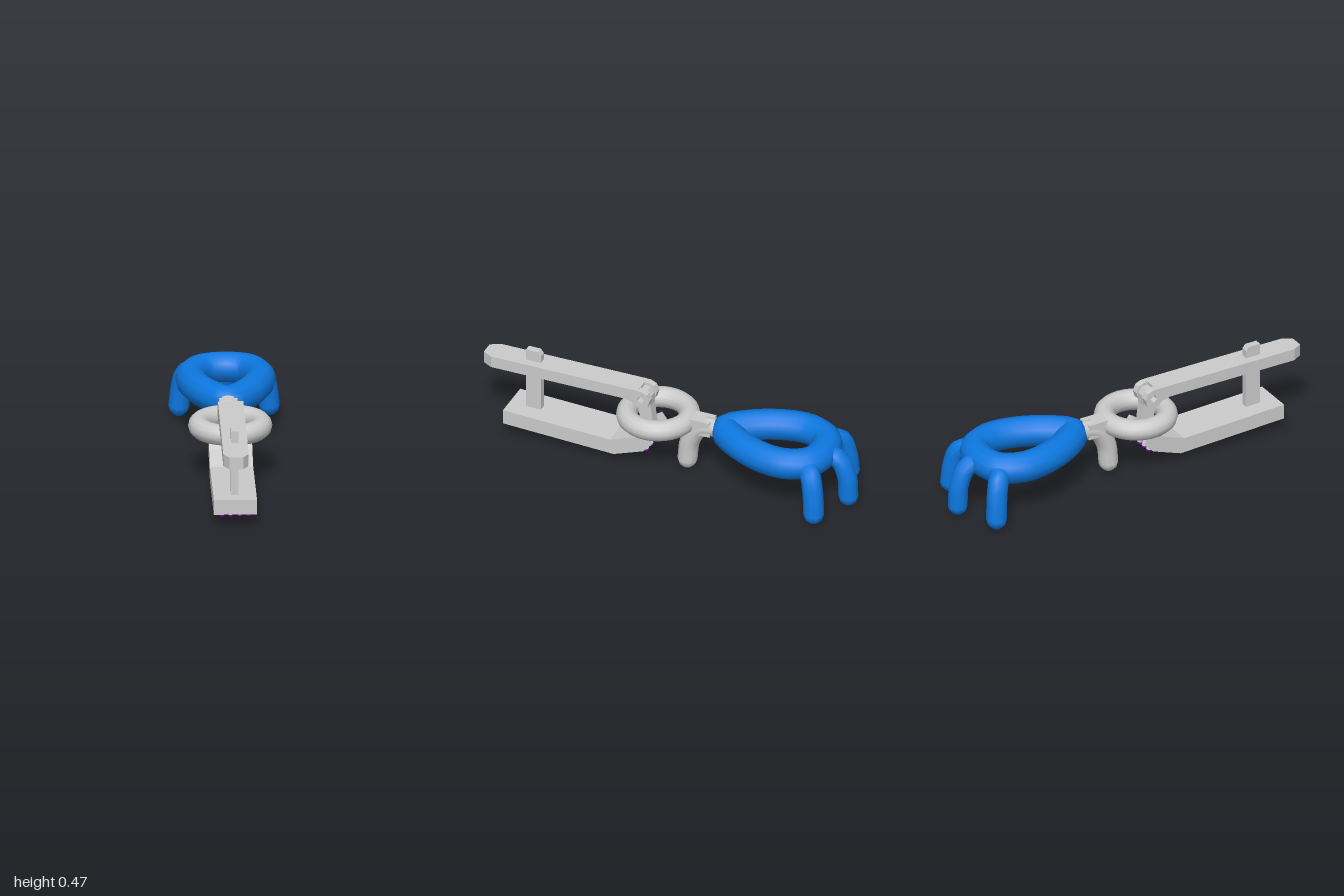
import * as THREE from 'three';

const grey = new THREE.MeshStandardMaterial({ color: 0xcccccc });
const blue = new THREE.MeshStandardMaterial({ color: 0x0d78e0 });
const purple = new THREE.MeshStandardMaterial({ color: 0x9a00d0 });
const V = (x, y, z) => new THREE.Vector3(x, y, z);

export function createModel() {
  const model = new THREE.Group();

  const add = (name, geometry, material, parent = model) => {
    const mesh = new THREE.Mesh(geometry, material);
    mesh.name = name;
    parent.add(mesh);
    return mesh;
  };

  const box = (name, w, h, d, x, y, z, material = grey, parent = model) => {
    const mesh = add(name, new THREE.BoxGeometry(w, h, d), material, parent);
    mesh.position.set(x, y, z);
    return mesh;
  };

  const outline = (pts) => new THREE.Shape(pts.map(([a, b]) => new THREE.Vector2(a, b)));

  // A side profile given as (z, y), extruded across x and centred on x
  const sideways = (name, shape, width, x, material = grey, parent = model) => {
    const g = new THREE.ExtrudeGeometry(shape, { depth: width, bevelEnabled: false, curveSegments: 6 });
    g.rotateY(-Math.PI / 2);
    g.translate(x + width / 2, 0, 0);
    return add(name, g, material, parent);
  };

  // A bent round finger with a rounded tip
  const finger = (name, pts, radius, material) => {
    const group = new THREE.Group();
    group.name = name;
    const curve = new THREE.CatmullRomCurve3(pts);
    add(name + 'Shaft', new THREE.TubeGeometry(curve, 10, radius, 10), material, group);
    for (const p of [pts[0], pts[pts.length - 1]]) {
      add(name + 'End', new THREE.SphereGeometry(radius, 10, 6), material, group).position.copy(p);
    }
    model.add(group);
  };

  // Teardrop palm
  const half = [[0.11, -0.785], [0.165, -0.69], [0.167, -0.59], [0.123, -0.45], [0.05, -0.335]];
  const loop = [
    V(0, 0.268, -0.815),
    ...half.map(([x, z]) => V(x, 0.268, z)),
    V(0, 0.268, -0.29),
    ...half.slice().reverse().map(([x, z]) => V(-x, 0.268, z)),
  ];
  add('teardropRing', new THREE.TubeGeometry(new THREE.CatmullRomCurve3(loop, true), 40, 0.077, 12, true), blue);

  // Three claws at the back
  for (const s of [-1, 1]) {
    finger(s > 0 ? 'leftClaw' : 'rightClaw',
      [V(s * 0.13, 0.27, -0.78), V(s * 0.19, 0.235, -0.83), V(s * 0.213, 0.15, -0.852), V(s * 0.224, 0.052, -0.86)],
      0.052, blue);
  }
  finger('middleClaw', [V(0, 0.27, -0.83), V(0, 0.25, -0.9), V(0, 0.16, -0.943), V(0, 0.05, -0.95)], 0.05, blue);

  // Grey claw that joins the palm to the ring
  finger('frontClaw', [V(0, 0.268, -0.24), V(0, 0.252, -0.16), V(0, 0.16, -0.098), V(0, 0.05, -0.083)], 0.05, grey);
  box('neck', 0.09, 0.08, 0.12, 0, 0.268, -0.16);

  // Linking ring
  const ring = add('linkRing', new THREE.TorusGeometry(0.156, 0.053, 12, 32), grey);
  ring.rotation.x = Math.PI / 2;
  ring.position.set(0, 0.268, 0.075);

  // Upper clamp arm, with chamfered front corners
  const armShape = outline([
    [-0.063, -0.16], [0.063, -0.16], [0.063, -0.95], [0.035, -1], [-0.035, -1], [-0.063, -0.95],
  ].reverse());
  const armGeo = new THREE.ExtrudeGeometry(armShape, { depth: 0.062, bevelEnabled: false });
  armGeo.rotateX(-Math.PI / 2);
  armGeo.translate(0, 0.354, 0);
  add('upperArm', armGeo, grey);

  // Hinge ears and strap share a square pin hole
  const pinHole = () => {
    const h = new THREE.Path();
    h.moveTo(0.145, 0.387).lineTo(0.122, 0.37).lineTo(0.139, 0.345).lineTo(0.163, 0.362).closePath();
    return h;
  };
  const ear = outline([
    [0.24, 0.415], [0.14, 0.415], [0.11, 0.402], [0.095, 0.37], [0.105, 0.335], [0.135, 0.318],
    [0.17, 0.322], [0.195, 0.345], [0.24, 0.355],
  ]);
  ear.holes.push(pinHole());
  for (const s of [-1, 1]) sideways(s > 0 ? 'leftHingeEar' : 'rightHingeEar', ear, 0.036, s * 0.045);

  const strap = outline([
    [0.085, 0.17], [0.15, 0.17], [0.175, 0.32], [0.18, 0.37], [0.165, 0.4], [0.125, 0.4], [0.105, 0.37], [0.105, 0.32],
  ]);
  strap.holes.push(pinHole());
  sideways('hingeStrap', strap, 0.054, 0);

  // Latch post through the upper arm
  sideways('latchPost', outline([
    [0.7, 0.12], [0.78, 0.12], [0.78, 0.475], [0.715, 0.475], [0.7, 0.455],
  ]), 0.037, 0);

  // Lower jaw: side walls, raised floor and end lips
  const jaw = new THREE.Group();
  jaw.name = 'lowerJaw';
  model.add(jaw);
  const top = [[0.1, 0.21], [0.16, 0.17], [0.29, 0.123], [0.866, 0.147]];
  const bottom = [[0.866, 0.07], [0.27, 0.043], [0.11, 0.1], [0.06, 0.155]];
  for (const s of [-1, 1]) {
    sideways(s > 0 ? 'leftJawWall' : 'rightJawWall', outline([...top, ...bottom]), 0.016, s * 0.099, grey, jaw);
  }
  const floor = [[0.866, 0.095], [0.28, 0.068], [0.12, 0.125], [0.07, 0.168]];
  sideways('jawPlate', outline([...top, ...floor]), 0.184, 0, grey, jaw);
  sideways('jawLining', outline([
    ...floor, [0.073, 0.163], [0.119, 0.12], [0.28, 0.063], [0.85, 0.09],
  ]), 0.182, 0, purple, jaw);
  box('frontLip', 0.184, 0.03, 0.014, 0, 0.086, 0.859, grey, jaw);

  // Rows of teeth, each with a coloured tip
  const floorAt = (z) => {
    if (z > 0.28) return 0.068 + (z - 0.28) * 0.046;
    return 0.068 + (0.28 - z) * 0.356;
  };
  const toothGeo = new THREE.CylinderGeometry(0.016, 0.014, 0.034, 8);
  const tipGeo = new THREE.CylinderGeometry(0.014, 0.011, 0.009, 8);
  for (let row = 0; row < 9; row++) {
    const z = 0.825 - row * 0.088;
    for (const x of [-0.065, -0.022, 0.022, 0.065]) {
      const tooth = new THREE.Group();
      tooth.name = 'tooth';
      add('toothBase', toothGeo, grey, tooth).position.y = -0.016;
      add('toothTip', tipGeo, purple, tooth).position.y = -0.037;
      tooth.position.set(x, floorAt(z), z);
      tooth.rotation.x = z > 0.25 ? -0.046 : 0.34;
      jaw.add(tooth);
    }
  }

  return model;
}
